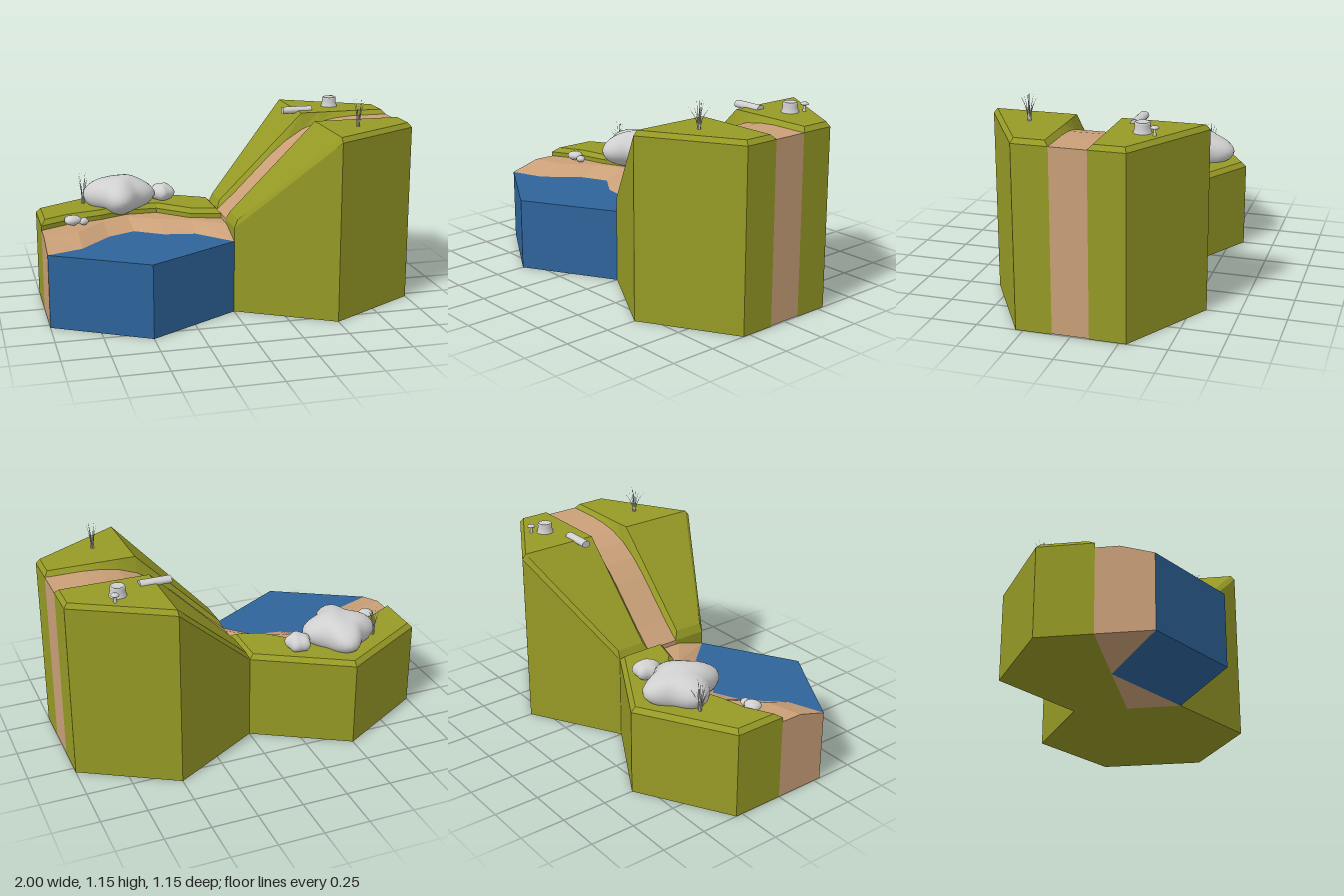
import * as THREE from 'three';

const mat = (name, color) => Object.assign(new THREE.MeshStandardMaterial({ color }), { name });

// Flat-faced mesh from [polygon, outwardDirection] pairs; triangles are turned to face outward
function facets(name, material, faces) {
  const pos = [];
  for (const [poly, dir] of faces) {
    const p = poly.map(c => new THREE.Vector3(...c));
    const out = new THREE.Vector3(...dir);
    const n = new THREE.Vector3();
    p.forEach((a, i) => n.add(a.clone().cross(p[(i + 1) % p.length])));
    const m = [Math.abs(n.x), Math.abs(n.y), Math.abs(n.z)];
    const drop = m.indexOf(Math.max(...m));
    let flat = p.map(v => drop === 0 ? new THREE.Vector2(v.y, v.z)
      : drop === 1 ? new THREE.Vector2(v.x, v.z) : new THREE.Vector2(v.x, v.y));
    const order = p.map((_, i) => i);
    if (THREE.ShapeUtils.isClockWise(flat)) { flat.reverse(); order.reverse(); }
    for (const t of THREE.ShapeUtils.triangulateShape(flat, [])) {
      const [a, b, c] = t.map(i => p[order[i]]);
      const tn = b.clone().sub(a).cross(c.clone().sub(a));
      const tri = tn.dot(out) < 0 ? [a, c, b] : [a, b, c];
      tri.forEach(v => pos.push(v.x, v.y, v.z));
    }
  }
  const g = new THREE.BufferGeometry();
  g.setAttribute('position', new THREE.Float32BufferAttribute(pos, 3));
  g.computeVertexNormals();
  const mesh = new THREE.Mesh(g, material);
  mesh.name = name;
  return mesh;
}

// Moves every edge of an [x, z] outline inward by d
function inset(pts, d) {
  const area = pts.reduce((s, a, i) => {
    const b = pts[(i + 1) % pts.length];
    return s + a[0] * b[1] - b[0] * a[1];
  }, 0);
  const s = Math.sign(area);
  const normal = (a, b) => {
    const l = Math.hypot(b[0] - a[0], b[1] - a[1]);
    return [-s * (b[1] - a[1]) / l, s * (b[0] - a[0]) / l];
  };
  return pts.map((p, i) => {
    const n1 = normal(pts[(i + pts.length - 1) % pts.length], p);
    const n2 = normal(p, pts[(i + 1) % pts.length]);
    const k = d / (1 + n1[0] * n2[0] + n1[1] * n2[1]);
    return [p[0] + (n1[0] + n2[0]) * k, p[1] + (n1[1] + n2[1]) * k];
  });
}

const at = (pts, y) => pts.map(([x, z]) => [x, y, z]);
const UP = [0, 1, 0], DOWN = [0, -1, 0];

// Shore tile: grass bank, sand beach and water
function shoreTile(grass, sand, water) {
  const g = new THREE.Group();
  g.name = 'shoreTile';
  const grassLine = [[-1, 0], [-.83, -.09], [-.66, -.13], [-.5, -.2], [-.33, -.2], [-.17, -.05], [0, 0]];
  const beachLine = [[-1, .12], [-.81, .07], [-.65, -.09], [-.5, -.16], [-.34, -.06], [-.17, -.01], [0, .12]];
  const waterLine = [[-1, .289], [-.81, .22], [-.64, .04], [-.49, -.03], [-.34, .07], [-.17, .1], [0, .289]];

  const outline = [...grassLine, [0, -.289], [-.5, -.577], [-1, -.289]];
  const inner = inset(outline, .024);
  const bank = [[at(inner, .5), UP]];
  outline.forEach((a, i) => {
    const j = (i + 1) % outline.length, b = outline[j];
    const dir = [a[1] - b[1], 0, b[0] - a[0]];
    bank.push([[[a[0], 0, a[1]], [b[0], 0, b[1]], [b[0], .475, b[1]], [a[0], .475, a[1]]], dir]);
    bank.push([[[a[0], .475, a[1]], [b[0], .475, b[1]],
      [inner[j][0], .5, inner[j][1]], [inner[i][0], .5, inner[i][1]]], UP]);
  });
  bank.push([at([[-1, 0], [0, 0], [0, -.289], [-.5, -.577], [-1, -.289]], 0), DOWN]);
  g.add(facets('grassBank', grass, bank));

  const beach = [];
  for (let i = 0; i < 6; i++) {
    const strip = (a, ya, b, yb) => beach.push([[...at([a[i], a[i + 1]], ya), ...at([b[i + 1], b[i]], yb)], UP]);
    strip(grassLine, .45, beachLine, .45);
    strip(beachLine, .45, waterLine, .4);
  }
  beach.push([[[-1, 0, 0], [-1, .45, 0], [-1, .45, .12], [-1, .4, .289], [-1, 0, .289]], [-1, 0, 0]]);
  for (const x of [-1, 0]) beach.push([at([[x, 0], [x, .289], [-.5, 0]], 0), DOWN]);
  g.add(facets('beach', sand, beach));

  const sea = [[at([...waterLine, [-.5, .577]], .4), UP],
    [at([[-1, .289], [-.5, 0], [0, .289], [-.5, .577]], 0), DOWN]];
  for (const x of [-1, 0])
    sea.push([[[x, 0, .289], [-.5, 0, .577], [-.5, .4, .577], [x, .4, .289]], [x + .5, 0, 1]]);
  g.add(facets('water', water, sea));
  return g;
}

// Hill tile: ramp up to a plateau, cut by a sunken path
function hillTile(grass, sand) {
  const g = new THREE.Group();
  g.name = 'hillTile';
  const path = [[0, .475], [.1, .565], [.2, .665], [.3, .765], [.4, .85], [.5, .913],
    [.6, .95], [.7, .968], [.8, .975], [1, .975]];
  const w = .097;
  for (const s of [1, -1]) {
    const P = (x, y, z) => [x, y, z * s];
    const A = P(0, .475, w), B = P(0, .475, .289), C = P(.5, .975, .577), D = P(1, .975, .289), E = P(1, .975, w);
    const a = P(.02, .52, .12), b = P(.02, .52, .285), c = P(.5, 1, .555), d = P(.98, 1, .278),
      e = P(.98, 1, .12), f = P(.5, 1, .12);
    const foot = v => [v[0], 0, v[2]];
    const faces = [
      [[a, b, c, f], UP], [[f, c, d, e], UP],
      [[A, B, b, a], UP], [[B, C, c, b], UP], [[C, D, d, c], UP], [[D, E, e, d], UP],
    ];
    const wall = (p, q, dir) => faces.push([[foot(p), foot(q), q, p], dir]);
    wall(A, B, [-1, 0, 0]);
    wall(B, C, [-1, 0, 2 * s]);
    wall(C, D, [1, 0, 2 * s]);
    wall(D, E, [1, 0, 0]);
    // banks falling to the path
    const rim = x => {
      const t = THREE.MathUtils.clamp(x, .02, .98);
      return P(t, Math.min(1, .5 + t), .12);
    };
    for (let i = 0; i < path.length - 1; i++) {
      const [x0, y0] = path[i], [x1, y1] = path[i + 1];
      faces.push([[P(x0, y0, w), P(x1, y1, w), rim(x1), rim(x0)], [0, .5, -s]]);
    }
    faces.push([[foot(A), foot(B), foot(C), foot(D), foot(E)], DOWN]);
    g.add(facets(s > 0 ? 'frontHill' : 'backHill', grass, faces));
  }
  g.add(facets('hillUnderside', grass, [[at([[0, -w], [1, -w], [1, w], [0, w]], 0), DOWN]]));

  const shape = new THREE.Shape([[0, .004], [1, .004], ...path.slice().reverse()].map(p => new THREE.Vector2(...p)));
  const geo = new THREE.ExtrudeGeometry(shape, { depth: w * 2, bevelEnabled: false });
  const road = new THREE.Mesh(geo.translate(0, 0, -w), sand);
  road.name = 'path';
  g.add(road);
  return g;
}

// Smooth lumpy stone
function stone(name, material, [x, y, z], [rx, ry, rz], lobes, amount, turn = 0) {
  const geo = new THREE.SphereGeometry(1, 40, 24);
  const p = geo.attributes.position;
  for (let i = 0; i < p.count; i++) {
    const [px, py, pz] = [p.getX(i), p.getY(i), p.getZ(i)];
    const q = Math.hypot(px, pz);
    const k = 1 + amount * q * Math.cos(lobes * (Math.atan2(pz, px) - turn));
    p.setXYZ(i, px * k * rx, py * ry * (1 + .06 * Math.sin(5 * px + 3 * pz)), pz * k * rz);
  }
  geo.computeVertexNormals();
  const m = new THREE.Mesh(geo, material);
  m.position.set(x, y, z);
  m.name = name;
  return m;
}

// Tuft of thin bent blades
function tuft(name, material, x, y, z, height) {
  const g = new THREE.Group();
  g.name = name;
  for (let i = 0; i < 9; i++) {
    const ang = i * 2.4, lean = .012 + .04 * (i % 4) / 3, h = height * (1 - .09 * (i % 4));
    const geo = new THREE.ConeGeometry(.0035, h, 4, 5).translate(0, h / 2, 0);
    const p = geo.attributes.position;
    for (let j = 0; j < p.count; j++) {
      const t = p.getY(j) / h;
      p.setX(j, p.getX(j) + lean * t * t + .006);
    }
    geo.rotateY(ang).computeVertexNormals();
    const blade = new THREE.Mesh(geo, material);
    blade.name = 'blade';
    g.add(blade);
  }
  g.position.set(x, y, z);
  return g;
}

function turned(name, material, profile, x, y, z, sides = 24) {
  const m = new THREE.Mesh(new THREE.LatheGeometry(profile.map(p => new THREE.Vector2(...p)), sides), material);
  m.position.set(x, y, z);
  m.name = name;
  return m;
}

export function createModel() {
  const grass = mat('grass green', 0x969a25), sand = mat('sand', 0xcaa078);
  const water = mat('water blue', 0x2e649b), grey = mat('light grey', 0xcfcfcf);
  const model = new THREE.Group();
  model.name = 'hexLandscape';
  model.add(shoreTile(grass, sand, water), hillTile(grass, sand));

  // stones on the shore
  model.add(
    stone('boulder', grey, [-.53, .553, -.28], [.175, .104, .192], 4, .16, .12),
    stone('sideRock', grey, [-.275, .54, -.31], [.068, .05, .075], 5, .08, .4),
    stone('pebble', grey, [-.825, .482, -.05], [.047, .027, .042], 3, .06),
    stone('smallPebble', grey, [-.765, .473, -.045], [.026, .02, .026], 3, .05),
    tuft('shoreTuft', grey, -.73, .5, -.315, .18),
    tuft('hillTuft', grey, .68, 1, .31, .155));

  // log, stump and mushroom on the hill
  const log = new THREE.Mesh(new THREE.CylinderGeometry(.02, .02, .17, 20).rotateZ(Math.PI / 2).scale(1, 1, 1.3), grey);
  log.position.set(.5, 1.001, -.213);
  log.name = 'log';
  model.add(log,
    turned('stump', grey, [[.047, 0], [.043, .012], [.039, .03], [.04, .046], [.038, .053], [.033, .055],
      [.031, .051], [0, .051]], .722, 1, -.29),
    turned('mushroomStalk', grey, [[.01, 0], [.007, .015], [.007, .04]], .757, 1, -.36, 12),
    turned('mushroomCap', grey, [[0, .036], [.02, .034], [.023, .038], [.016, .046], [0, .05]], .757, 1, -.36));
  return model;
}
